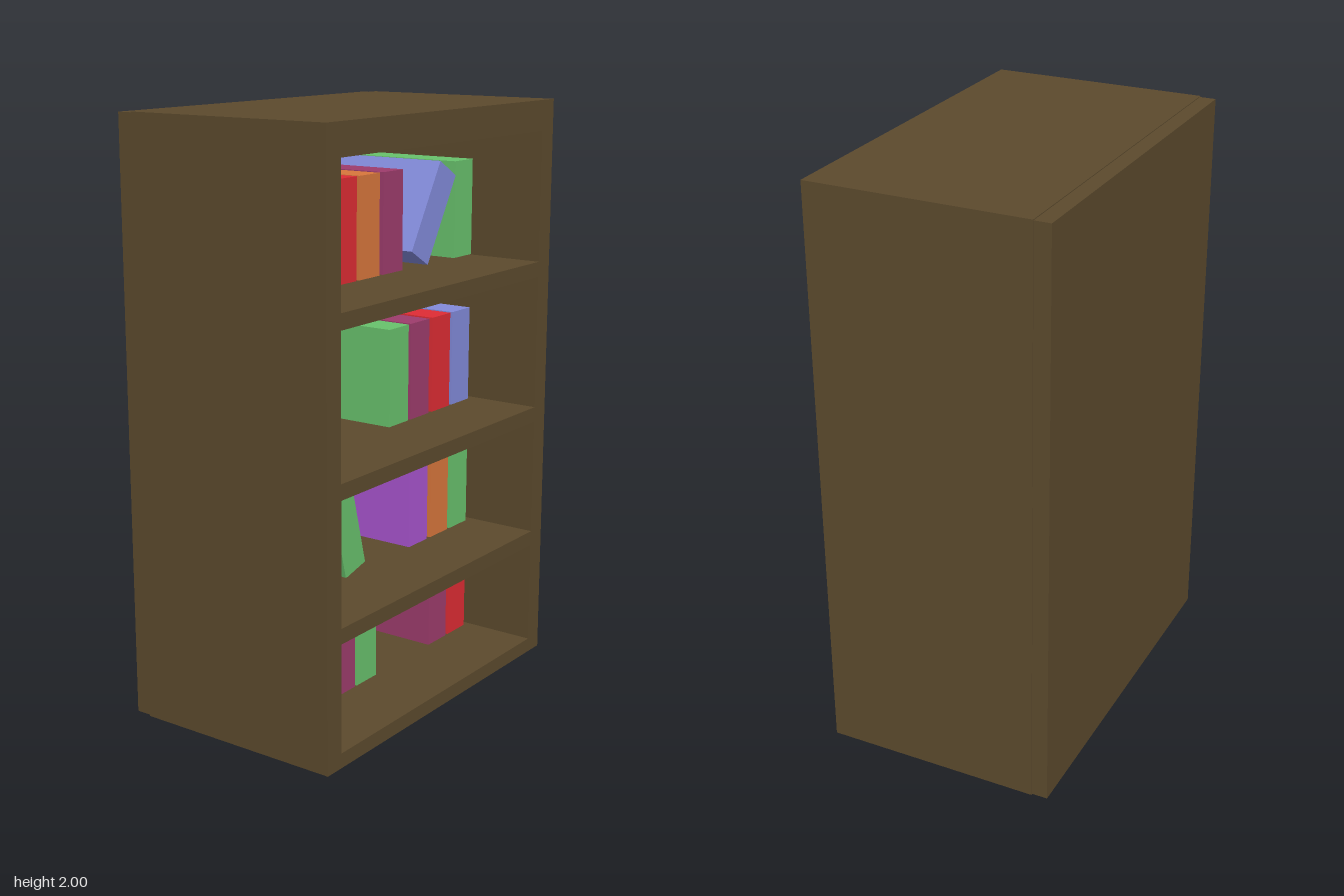
import * as THREE from 'three';

const WOOD = 0x5c4a2d, RED = 0xde2c34, GREEN = 0x68c16c, BLUE = 0x828ada;
const PLUM = 0x9d3c6c, ORANGE = 0xd8763c, PURPLE = 0xa854ce;

const BACK = -0.345; // x where the back panel meets the carcass
const BOOK = { depth: 0.49, height: 0.335, width: 0.113 };

// Each shelf: opening floor and ceiling, book base, and books as [colour, z, lean, centre y when leaning]
const SHELVES = [
  { floor: 0.05, ceiling: 0.414, base: 0.056, books: [
    [BLUE, 0.462], [PURPLE, 0.337], [PLUM, 0.21], [GREEN, 0.087], [PLUM, -0.358], [RED, -0.485]] },
  { floor: 0.465, ceiling: 0.875, base: 0.467, books: [
    [RED, 0.496], [RED, 0.347], [GREEN, 0.194, 0.257, 0.639], [PURPLE, -0.225], [ORANGE, -0.358], [GREEN, -0.485]] },
  { floor: 0.927, ceiling: 1.395, base: 0.929, books: [
    [GREEN, 0.488], [BLUE, 0.353], [GREEN, -0.098], [PLUM, -0.225], [RED, -0.358], [BLUE, -0.485]] },
  { floor: 1.447, ceiling: 1.897, base: 1.455, books: [
    [PLUM, 0.517], [RED, 0.204], [ORANGE, 0.077], [PLUM, -0.056], [BLUE, -0.302, -0.53, 1.626], [GREEN, -0.488]] },
];

const materials = new Map();
function material(color) {
  if (!materials.has(color)) materials.set(color, new THREE.MeshStandardMaterial({ color, flatShading: true }));
  return materials.get(color);
}

function addMesh(parent, name, geometry, color) {
  const mesh = new THREE.Mesh(geometry, material(color));
  mesh.name = name;
  parent.add(mesh);
  return mesh;
}

// Closed rectangle path
function rect(path, x0, y0, x1, y1) {
  path.moveTo(x0, y0);
  path.lineTo(x1, y0);
  path.lineTo(x1, y1);
  path.lineTo(x0, y1);
  path.closePath();
  return path;
}

export function createModel() {
  const model = new THREE.Group();
  model.name = 'bookcase';

  // Carcass: one slab with a hole per shelf, extruded towards the open +x side
  const face = rect(new THREE.Shape(), -0.65, 0, 0.65, 2);
  for (const s of SHELVES) face.holes.push(rect(new THREE.Path(), -0.579, s.floor, 0.579, s.ceiling));
  const frame = new THREE.ExtrudeGeometry(face, { depth: 0.4 - BACK, bevelEnabled: false });
  frame.rotateY(Math.PI / 2).translate(BACK, 0, 0);
  addMesh(model, 'frame', frame, WOOD);

  // Back panel, a hair smaller than the carcass
  const panel = addMesh(model, 'backPanel', new THREE.BoxGeometry(0.4 + BACK, 1.994, 1.294), WOOD);
  panel.position.set((BACK - 0.4) / 2, 1, 0);

  // Books, set back from the front edge
  const bookGeometry = new THREE.BoxGeometry(BOOK.depth, BOOK.height, BOOK.width);
  SHELVES.forEach((shelf, i) => {
    const row = new THREE.Group();
    row.name = `bookRow${i + 1}`;
    for (const [color, z, lean = 0, y = shelf.base + BOOK.height / 2] of shelf.books) {
      const book = addMesh(row, lean ? 'leaningBook' : 'book', bookGeometry, color);
      book.position.set(0.145 - BOOK.depth / 2, y, z);
      book.rotation.x = lean;
    }
    model.add(row);
  });

  return model;
}
